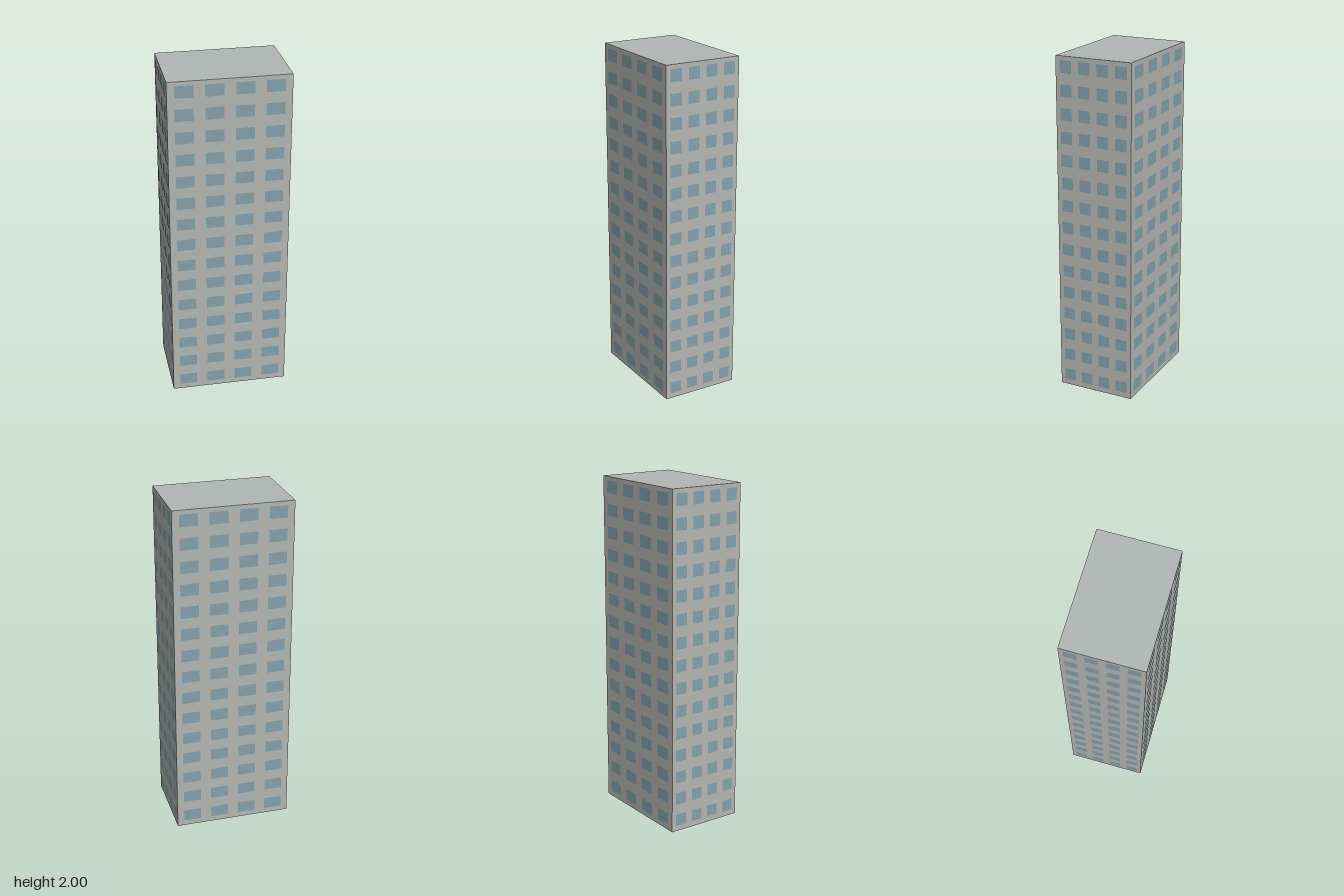
import * as THREE from 'three';

export function createModel() {
  const wall = new THREE.MeshStandardMaterial({ name: 'concrete', color: 0xb2b6b2 });
  const roof = new THREE.MeshStandardMaterial({ name: 'roofGrey', color: 0xb0b6b3 });
  const glass = new THREE.MeshStandardMaterial({ name: 'windowBlue', color: 0x85a0a9 });

  const W = 0.465, D = 0.693, H = 2;
  const ROWS = 15, COLS = 4;
  const model = new THREE.Group();
  model.name = 'towerBlock';

  // Tower, turned on its plot
  const tower = new THREE.Group();
  tower.name = 'tower';
  tower.rotation.y = -0.673;
  model.add(tower);

  // Body: walls with roof and base faces in their own grey
  const body = new THREE.Mesh(new THREE.BoxGeometry(W, H, D), [wall, wall, roof, roof, wall, wall]);
  body.name = 'body';
  body.position.y = H / 2;
  tower.add(body);

  // One facade of windows: a grid of panes just proud of the wall
  function facade(name, width, distance, angle) {
    const side = new THREE.Group();
    side.name = name;
    side.rotation.y = angle;
    const pane = new THREE.PlaneGeometry(width * 0.152, 0.07);
    for (let row = 0; row < ROWS; row++) {
      for (let col = 0; col < COLS; col++) {
        const win = new THREE.Mesh(pane, glass);
        win.name = 'window';
        win.position.set((col - 1.5) * 0.244 * width, 0.068 + row * 0.1337, distance + 0.001);
        side.add(win);
      }
    }
    tower.add(side);
  }

  facade('frontWindows', W, D / 2, 0);
  facade('leftWindows', D, W / 2, Math.PI / 2);
  facade('backWindows', W, D / 2, Math.PI);
  facade('rightWindows', D, W / 2, -Math.PI / 2);

  return model;
}
